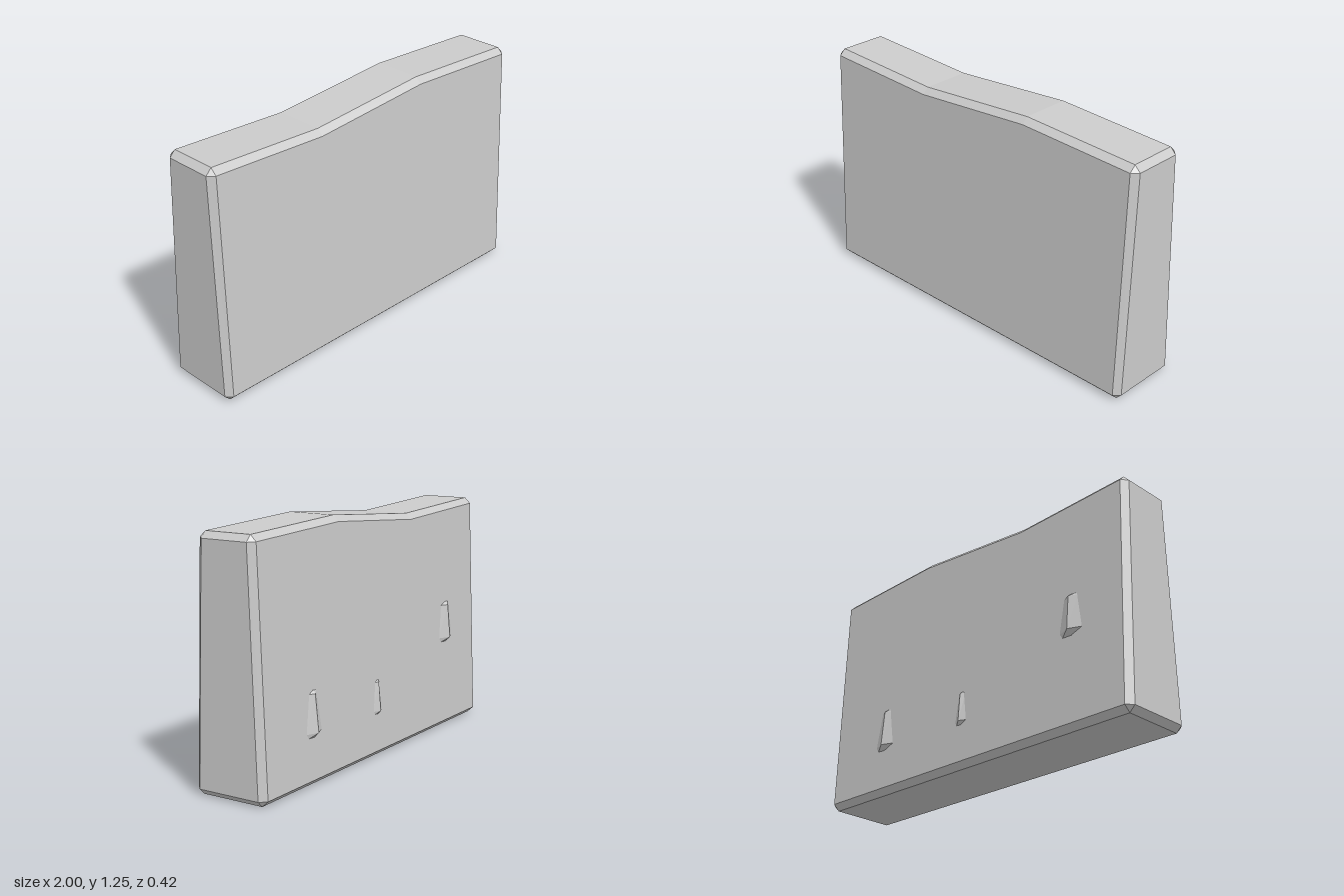
import * as THREE from 'three';

const material = new THREE.MeshStandardMaterial({ color: 0xcccccc, flatShading: true });

// Skins a list of equal-length rings (counterclockwise seen from the last ring's end) and caps both ends
function loft(name, rings) {
  const pos = [];
  const tri = (a, b, c) => pos.push(...a, ...b, ...c);
  const n = rings[0].length;
  for (let i = 0; i < rings.length - 1; i++) {
    for (let j = 0; j < n; j++) {
      const k = (j + 1) % n;
      const [a, b, c, d] = [rings[i][j], rings[i][k], rings[i + 1][k], rings[i + 1][j]];
      tri(a, b, c);
      tri(a, c, d);
    }
  }
  const first = rings[0], last = rings[rings.length - 1];
  for (let j = 1; j < n - 1; j++) {
    tri(first[0], first[j + 1], first[j]);
    tri(last[0], last[j], last[j + 1]);
  }
  const geometry = new THREE.BufferGeometry();
  geometry.setAttribute('position', new THREE.Float32BufferAttribute(pos, 3));
  geometry.computeVertexNormals();
  const mesh = new THREE.Mesh(geometry, material);
  mesh.name = name;
  return mesh;
}

// Tapered slab profile at x, with chamfers on all four long edges
function slabRing(x, top) {
  const c = 0.03;
  return [[0, 0.178], [0, -0.157], [c, -0.19], [top - c, -0.145],
    [top, -0.115], [top, 0.135], [top - c, 0.167], [c, 0.208]].map(([y, z]) => [x, y, z]);
}

// End profile: each chamfer closes to a single corner point
function endRing(x, top) {
  const f = [0.03, 0.178], b = [0.03, -0.157], tb = [top - 0.03, -0.115], tf = [top - 0.03, 0.135];
  return [f, b, b, tb, tb, tf, tf, f].map(([y, z]) => [x, y, z]);
}

// Back surface depth at height y
const wallZ = (y) => -0.19 + (y - 0.03) * 0.0388;

// Ridged lug on the back: narrow at the top, wide and proud near the bottom
function lug({ x, bottom, low, high, top, lowZ, highZ, wide, narrow }) {
  const ring = (y, half, tipZ) => {
    const w = wallZ(y) + 0.003;
    return [[x + half, y, w], [x, y, tipZ], [x - half, y, w], [x, y, w + 0.03]];
  };
  return loft('backLug', [
    ring(bottom, wide * 0.75, wallZ(bottom)),
    ring(low, wide, lowZ),
    ring(high, narrow, highZ),
    ring(top, narrow * 0.8, wallZ(top)),
  ]);
}

export function createModel() {
  const group = new THREE.Group();
  group.name = 'slab';

  // Main body with a wavy top
  group.add(loft('body', [
    endRing(-1, 1.215),
    slabRing(-0.97, 1.217),
    slabRing(-0.335, 1.19),
    slabRing(0.335, 1.245),
    slabRing(0.97, 1.221),
    endRing(1, 1.22),
  ]));

  // Lugs on the back
  const lugs = [
    { x: -0.665, bottom: 0.467, low: 0.492, high: 0.668, top: 0.683, lowZ: -0.2, highZ: -0.184, wide: 0.073, narrow: 0.045 },
    { x: 0.04, bottom: 0.22, low: 0.238, high: 0.385, top: 0.395, lowZ: -0.2, highZ: -0.188, wide: 0.042, narrow: 0.022 },
    { x: 0.595, bottom: 0.235, low: 0.26, high: 0.445, top: 0.46, lowZ: -0.207, highZ: -0.188, wide: 0.068, narrow: 0.036 },
  ];
  lugs.forEach((spec) => group.add(lug(spec)));
  return group;
}
